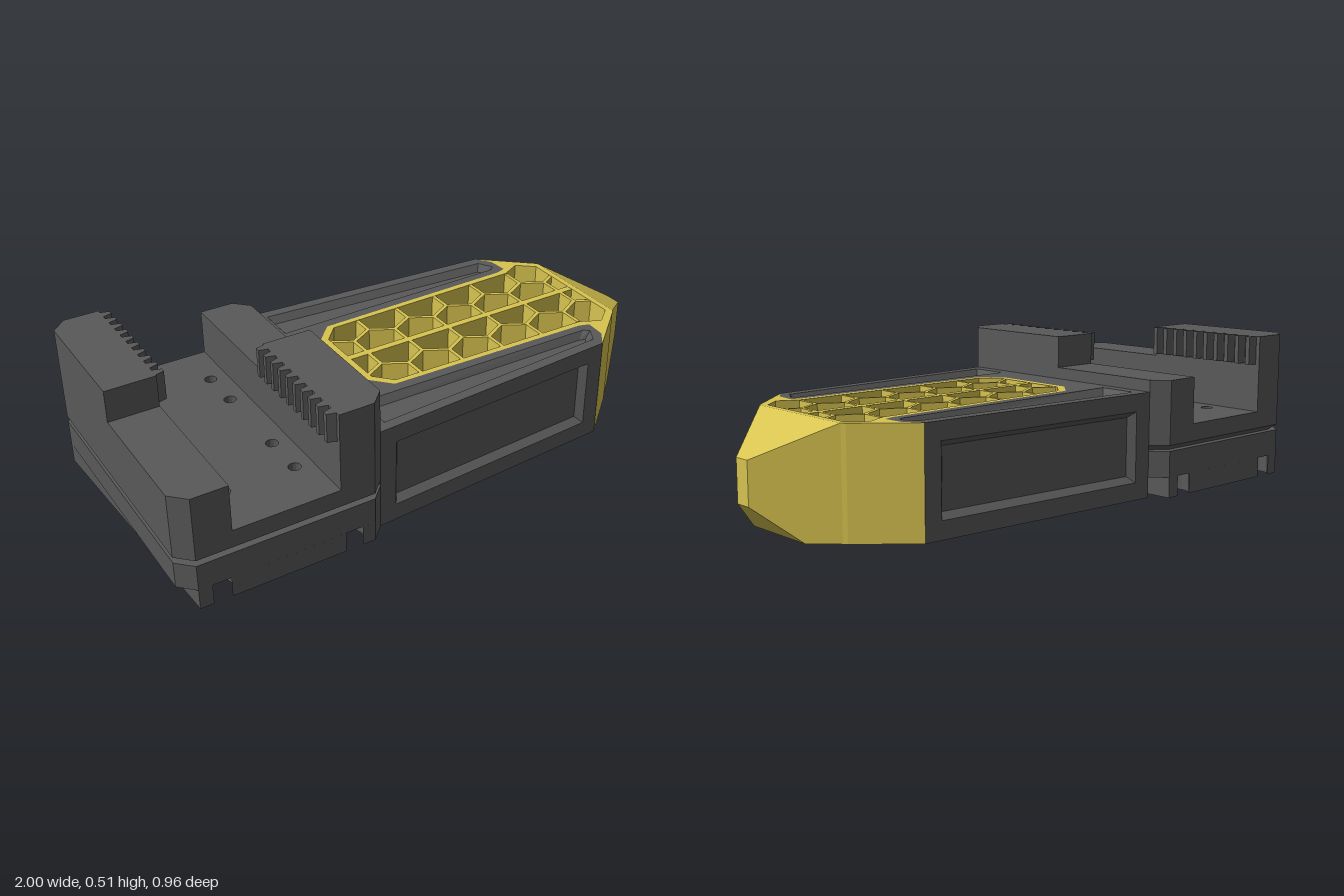
import * as THREE from 'three';
import { mergeGeometries } from 'three/addons/utils/BufferGeometryUtils.js';
import { ConvexGeometry } from 'three/addons/geometries/ConvexGeometry.js';

const grey = new THREE.MeshStandardMaterial({ color: 0x595959 });
grey.name = 'darkGrey';
const yellow = new THREE.MeshStandardMaterial({ color: 0xd8c450 });
yellow.name = 'yellow';

const H = 0.36; // height of the front body
const CX = -0.65; // centre of the rear block in x
const V = (p) => new THREE.Vector2(p[0], p[1]);
const flipZ = (pts) => pts.map(([x, z]) => [x, -z]);
// closes a half outline (z >= 0) with its mirror image
const mirrored = (pts) => [...pts, ...flipZ(pts).reverse()];

function makeShape(pts, holes = []) {
  const shape = new THREE.Shape(pts.map(V));
  shape.holes = holes.map((h) => new THREE.Path(h.map(V)));
  return shape;
}

// vertical prism from a plan outline of [x, z] points
function prism(pts, y0, y1, holes = []) {
  const geo = new THREE.ExtrudeGeometry(makeShape(flipZ(pts), holes.map(flipZ)), {
    depth: y1 - y0, bevelEnabled: false,
  });
  return geo.rotateX(-Math.PI / 2).translate(0, y0, 0);
}

function circle(cx, cz, r, n = 20) {
  return Array.from({ length: n }, (_, i) => {
    const a = (i / n) * Math.PI * 2;
    return [cx + r * Math.cos(a), cz + r * Math.sin(a)];
  });
}

// flat face (facing +z locally) with bevelled sunken panels; rims and floors run counter-clockwise
function panelFace(outline, recesses, depth) {
  const parts = [new THREE.ShapeGeometry(makeShape(outline, recesses.map((r) => r.rim)))];
  for (const { rim, floor } of recesses) {
    parts.push(new THREE.ShapeGeometry(makeShape(floor)).translate(0, 0, -depth));
    const pos = [];
    rim.forEach((a, i) => {
      const j = (i + 1) % rim.length;
      const b = rim[j], c = floor[j], d = floor[i];
      pos.push(...a, 0, ...b, 0, ...c, -depth, ...a, 0, ...c, -depth, ...d, -depth);
    });
    const band = new THREE.BufferGeometry();
    band.setAttribute('position', new THREE.Float32BufferAttribute(pos, 3));
    parts.push(band);
  }
  const flat = parts.map((g) => {
    const n = g.index ? g.toNonIndexed() : g;
    n.deleteAttribute('uv');
    n.computeVertexNormals();
    return n;
  });
  return mergeGeometries(flat);
}

function add(parent, name, geo, mat) {
  const mesh = new THREE.Mesh(geo, mat);
  mesh.name = name;
  parent.add(mesh);
  return mesh;
}

function buildBlock() {
  const block = new THREE.Group();
  block.name = 'clampBlock';
  const octagon = [[-1, 0.43], [-0.95, 0.48], [-0.35, 0.48], [-0.3, 0.43],
    [-0.3, -0.43], [-0.35, -0.48], [-0.95, -0.48], [-1, -0.43]];

  // foot with round sockets, the outer ones opening through the sides
  const half = [[-1, -0.43], [-0.95, -0.48]];
  const d = Math.atan2(0.03, 0.046);
  for (const cx of [-0.875, -0.425]) {
    for (let i = 0; i <= 14; i++) {
      const a = -Math.PI / 2 - d - (i / 14) * (2 * Math.PI - 2 * d);
      half.push([cx + 0.055 * Math.cos(a), -0.434 + 0.055 * Math.sin(a)]);
    }
  }
  half.push([-0.35, -0.48]);
  const foot = [...half, ...half.map(([x, z]) => [2 * CX - x, -z])];
  const sockets = [], screws = [];
  for (const s of [-1, 1]) {
    for (const x of [-0.875, -0.425]) sockets.push(circle(x, s * 0.18, 0.055));
    for (const x of [-0.77, -0.53]) for (const z of [0.15, 0.3]) screws.push(circle(x, s * z, 0.021, 14));
  }
  add(block, 'foot', prism(foot, 0, 0.07, sockets), grey);
  add(block, 'base', prism(octagon, 0.07, 0.16), grey);

  // undercut groove around the block
  const groove = prism(octagon, 0.16, 0.18);
  const p = groove.attributes.position;
  for (let i = 0; i < p.count; i++) {
    if (p.getY(i) < 0.17) p.setXYZ(i, CX + (p.getX(i) - CX) * 0.93, 0.16, p.getZ(i) * 0.95);
  }
  groove.computeVertexNormals();
  add(block, 'groove', groove, grey);
  add(block, 'channelFloor', prism(octagon, 0.18, 0.24, screws), grey);

  // two identical jaws, turned half a circle about the block's centre
  for (const turn of [0, Math.PI]) {
    const jaw = new THREE.Group();
    jaw.name = turn ? 'frontJaw' : 'rearJaw';
    jaw.position.x = CX;
    jaw.rotation.y = turn;
    const edge = -0.18;
    const wall = mirrored([[-0.35, 0.43], [-0.3, 0.48], [edge, 0.48]]);
    add(jaw, 'jawWall', prism(wall, 0.24, 0.4), grey);
    const tall = [[-0.35, 0], [edge, 0], [edge, -0.48], [-0.3, -0.48], [-0.35, -0.43]];
    add(jaw, 'jawTop', prism(tall, 0.4, 0.51), grey);
    for (let i = 0; i < 10; i++) {
      const z = -0.022 - i * 0.0475;
      const tooth = [[edge - 0.01, z + 0.016], [edge, z + 0.016], [edge + 0.03, z + 0.008],
        [edge + 0.03, z - 0.008], [edge, z - 0.016], [edge - 0.01, z - 0.016]];
      add(jaw, 'tooth', prism(tooth, 0.41, 0.51), grey);
    }
    block.add(jaw);
  }
  return block;
}

// boundary between grey hull and yellow insert, z >= 0
const seam = [[-0.18, 0.15], [-0.115, 0.22], [0.63, 0.238], [0.665, 0.25], [0.66, 0.32], [0.62, 0.375]];

function buildHull() {
  const hull = new THREE.Group();
  hull.name = 'hull';
  const outline = [[-0.3, -0.43], ...flipZ(seam).reverse(), ...seam, [0.62, 0.375], [-0.3, 0.43]];

  // top with two long sunken panels
  const rim = [[-0.26, 0.255], [0.62, 0.27], [0.64, 0.285], [0.61, 0.337], [-0.26, 0.39]];
  const floor = [[-0.24, 0.275], [0.595, 0.285], [0.615, 0.292], [0.595, 0.319], [-0.24, 0.37]];
  const recesses = [{ rim, floor }, { rim: flipZ(rim).reverse(), floor: flipZ(floor).reverse() }];
  const top = panelFace(outline, recesses, 0.025);
  add(hull, 'hullTop', top.rotateX(-Math.PI / 2).translate(0, H, 0), grey);
  add(hull, 'hullBottom', panelFace(outline, [], 0).rotateX(Math.PI / 2), grey);

  // slanted sides with a framed sunken panel
  const len = Math.hypot(0.92, 0.055);
  const rect = (m, n) => [[m, n], [len - m, n], [len - m, H - n], [m, H - n]];
  for (const s of [1, -1]) {
    const side = panelFace(rect(0, 0), [{ rim: rect(0.06, 0.06), floor: rect(0.08, 0.08) }], 0.025);
    const u = new THREE.Vector3(0.92 * s, 0, -0.055).normalize();
    const v = new THREE.Vector3(0, 1, 0);
    const m = new THREE.Matrix4().makeBasis(u, v, u.clone().cross(v));
    if (s > 0) m.setPosition(-0.3, 0, 0.43);
    else {
      u.set(-0.92, 0, -0.055).normalize();
      m.makeBasis(u, v, u.clone().cross(v)).setPosition(0.62, 0, -0.375);
    }
    add(hull, s > 0 ? 'frontSide' : 'backSide', side.applyMatrix4(m), grey);
  }
  return hull;
}

function buildInsert() {
  const insert = new THREE.Group();
  insert.name = 'noseInsert';

  // rim around the open lattice
  const outer = mirrored([...seam, [0.79, 0.227], [0.8, 0.215]]);
  const opening = mirrored([[-0.155, 0.14], [-0.1, 0.2], [0.65, 0.216], [0.72, 0.25], [0.78, 0.2]]);
  add(insert, 'rim', prism(outer, 0, H, [opening]), yellow);

  // tapered nose
  const pts = [];
  for (const s of [-1, 1]) {
    for (const [x, y, z] of [[0.8, H, 0.215], [0.8, 0, 0.215], [0.88, 0, 0.141], [1, 0.25, 0.03], [1, 0.11, 0.03]]) {
      pts.push(new THREE.Vector3(x, y, z * s));
    }
  }
  add(insert, 'nose', new ConvexGeometry(pts), yellow);

  // honeycomb webs
  const web = (x0, z0, x1, z1, w = 0.013) => {
    const geo = new THREE.BoxGeometry(Math.hypot(x1 - x0, z1 - z0) + 0.004, H - 0.002, w);
    const mesh = add(insert, 'honeycombWeb', geo, yellow);
    mesh.position.set((x0 + x1) / 2, H / 2, (z0 + z1) / 2);
    mesh.rotation.y = -Math.atan2(z1 - z0, x1 - x0);
  };
  web(-0.16, 0, 0.79, 0, 0.026);
  const step = 0.163;
  for (const s of [-1, 1]) {
    for (let k = 0; k < 6; k++) {
      const b = -0.085 + k * step;
      const a = b + step / 2;
      const zi = 0.085 * s, zo = 0.13 * s;
      web(b, 0, b, zi);
      web(b - step / 2, zo, b, zi);
      if (k < 5) {
        web(b, zi, a, zo);
        web(a, zo, a, 0.21 * s);
      } else web(b, zi, 0.785, 0.115 * s);
    }
  }
  return insert;
}

export function createModel() {
  const model = new THREE.Group();
  model.name = 'clampTool';
  model.add(buildBlock(), buildHull(), buildInsert());
  return model;
}
